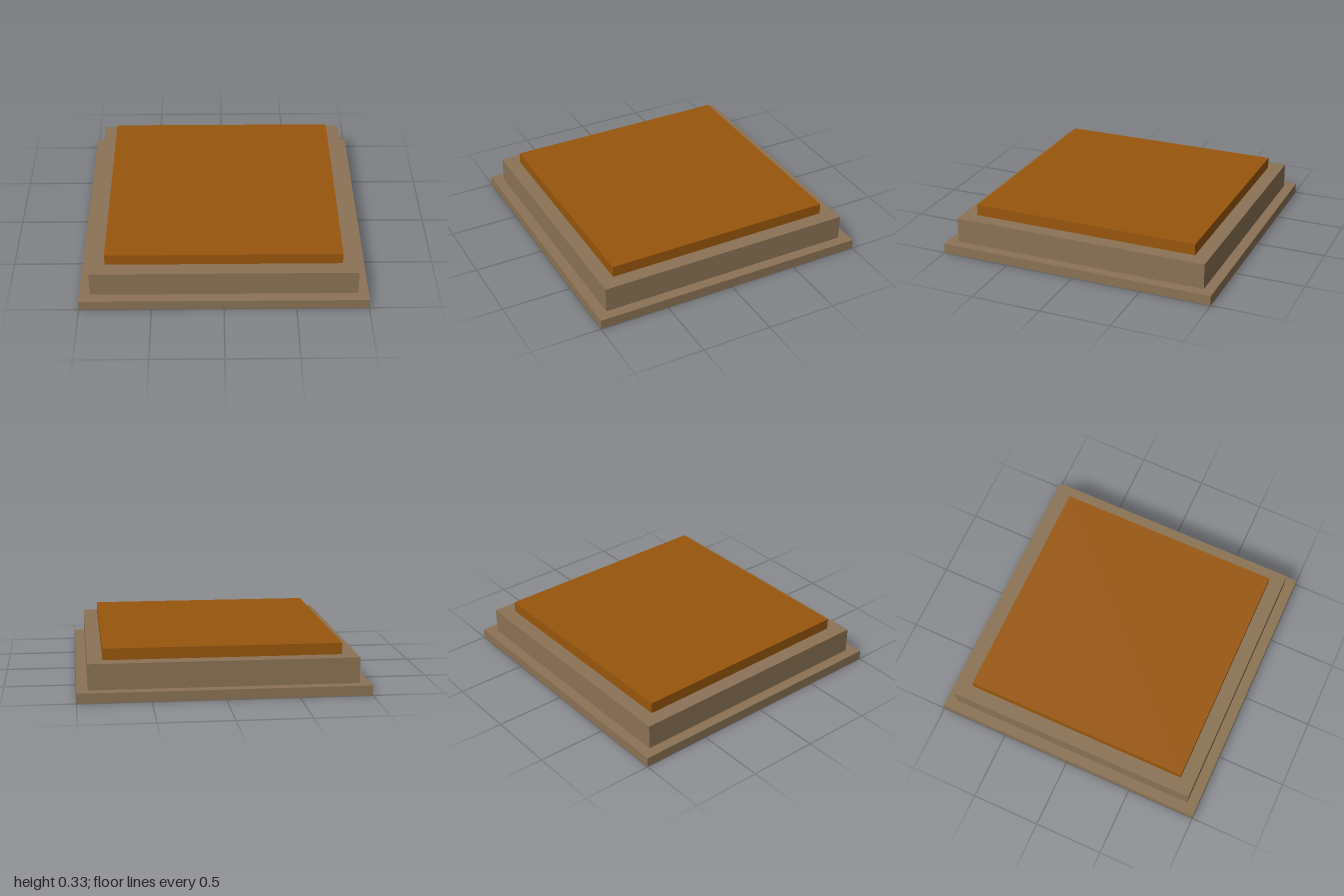
import * as THREE from 'three';

export function createModel() {
  const model = new THREE.Group();
  model.name = 'steppedPlatform';

  const stone = new THREE.MeshStandardMaterial({ color: 0x8b7355 });
  const inlay = new THREE.MeshStandardMaterial({ color: 0x99570d });

  // Square tiers from the ground up: name, width, bottom, top, material
  const tiers = [
    ['baseSlab', 2, 0, 0.07, stone],
    ['plinth', 1.85, 0.07, 0.25, stone],
    ['topPanel', 1.64, 0.25, 0.33, inlay],
  ];

  for (const [name, width, bottom, top, material] of tiers) {
    const tier = new THREE.Mesh(new THREE.BoxGeometry(width, top - bottom, width), material);
    tier.name = name;
    tier.position.y = (bottom + top) / 2;
    model.add(tier);
  }

  return model;
}
